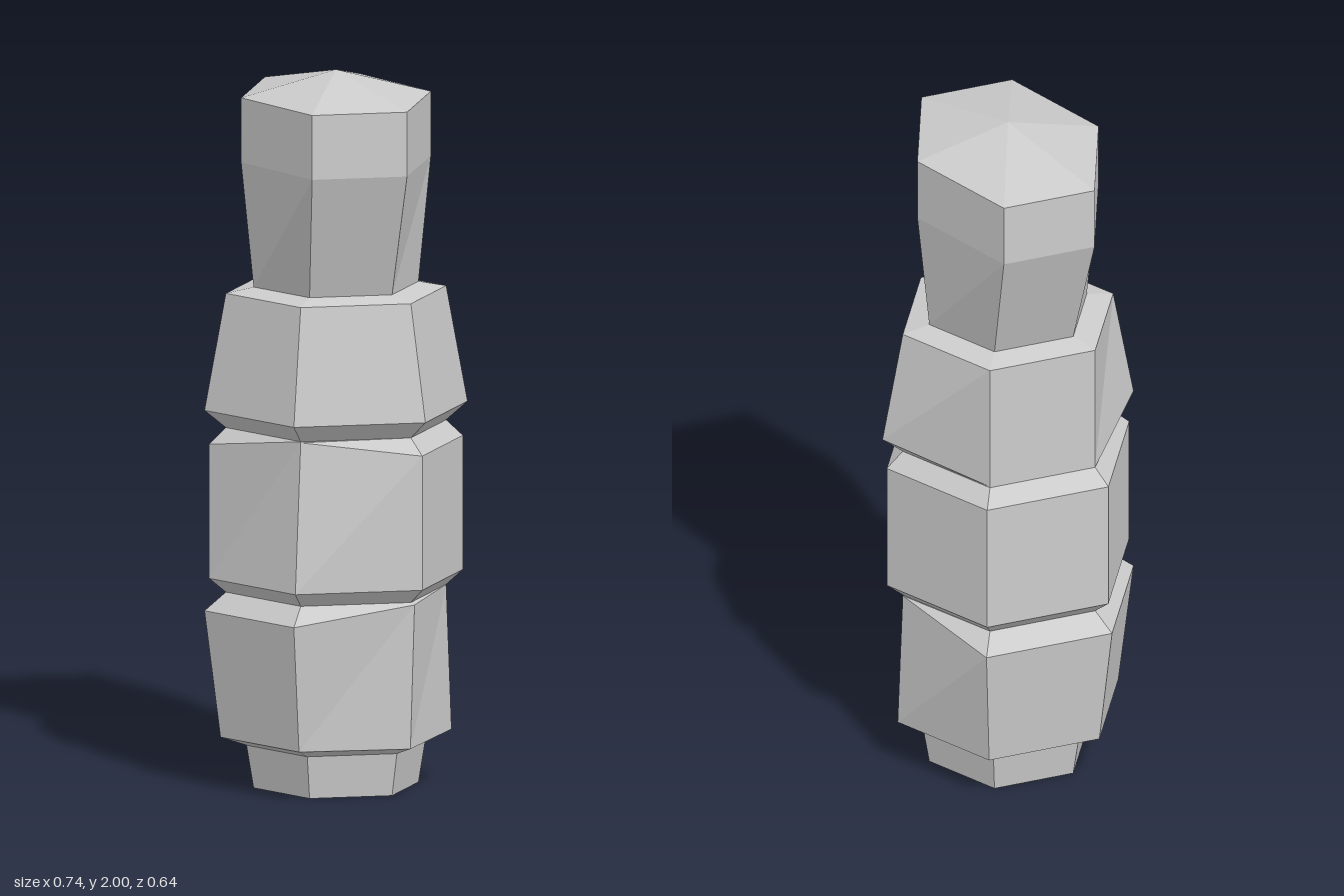
import * as THREE from 'three';

const material = new THREE.MeshStandardMaterial({ color: 0xcccccc, flatShading: true });

// Corner indices of the hexagon
const LEFT = 0, FRONT_LEFT = 1, BACK_RIGHT = 4, BACK_LEFT = 5;

// Hexagonal ring with points on the x axis; chips move single corners to a given [radius, y]
function ring(y, r, chips = {}, zScale = 1) {
  return Array.from({ length: 6 }, (_, k) => {
    const a = (k * Math.PI) / 3;
    const [cr, cy] = chips[k] ?? [r, y];
    return [cr * Math.cos(a), cy, cr * Math.sin(a) * zScale];
  });
}

// Skin a stack of rings with flat faces
function loft(name, rings) {
  const pos = [];
  for (let i = 0; i < rings.length - 1; i++) {
    for (let k = 0; k < 6; k++) {
      const n = (k + 1) % 6;
      const a = rings[i][k], b = rings[i][n], c = rings[i + 1][k], d = rings[i + 1][n];
      pos.push(...a, ...c, ...b, ...b, ...c, ...d);
    }
  }
  const geometry = new THREE.BufferGeometry();
  geometry.setAttribute('position', new THREE.Float32BufferAttribute(pos, 3));
  geometry.computeVertexNormals();
  const mesh = new THREE.Mesh(geometry, material);
  mesh.name = name;
  return mesh;
}

export function createModel() {
  const group = new THREE.Group();
  group.name = 'segmentedPost';

  // Narrow foot, closed underneath
  group.add(loft('foot', [ring(0, 0), ring(0, 0.232), ring(0.12, 0.252)]));

  // Lower block, widening upward, two corners worn down
  group.add(loft('lowerBlock', [
    ring(0.12, 0.252),
    ring(0.145, 0.325, { [FRONT_LEFT]: [0.308, 0.14] }),
    ring(0.5, 0.37, { [LEFT]: [0.31, 0.547], [FRONT_LEFT]: [0.325, 0.545] }),
    ring(0.55, 0.31),
  ]));

  // Middle block, straight, one upper corner worn down
  group.add(loft('middleBlock', [
    ring(0.55, 0.31),
    ring(0.59, 0.357),
    ring(0.965, 0.357, { [FRONT_LEFT + 1]: [0.31, 1.007] }),
    ring(1.01, 0.31),
  ]));

  // Upper block, narrowing upward, both lower back corners worn down
  group.add(loft('upperBlock', [
    ring(1.01, 0.31),
    ring(1.06, 0.37, { [BACK_RIGHT]: [0.31, 1.013], [BACK_LEFT]: [0.31, 1.013] }),
    ring(1.385, 0.31),
    ring(1.4, 0.232),
  ]));

  // Flared head, deeper than wide, with a low pointed cap
  const deep = 0.32 / (0.267 * Math.sin(Math.PI / 3));
  group.add(loft('head', [
    ring(1.4, 0.232),
    ring(1.75, 0.267, {}, deep),
    ring(1.93, 0.267, {}, deep),
    ring(2, 0),
  ]));

  return group;
}
